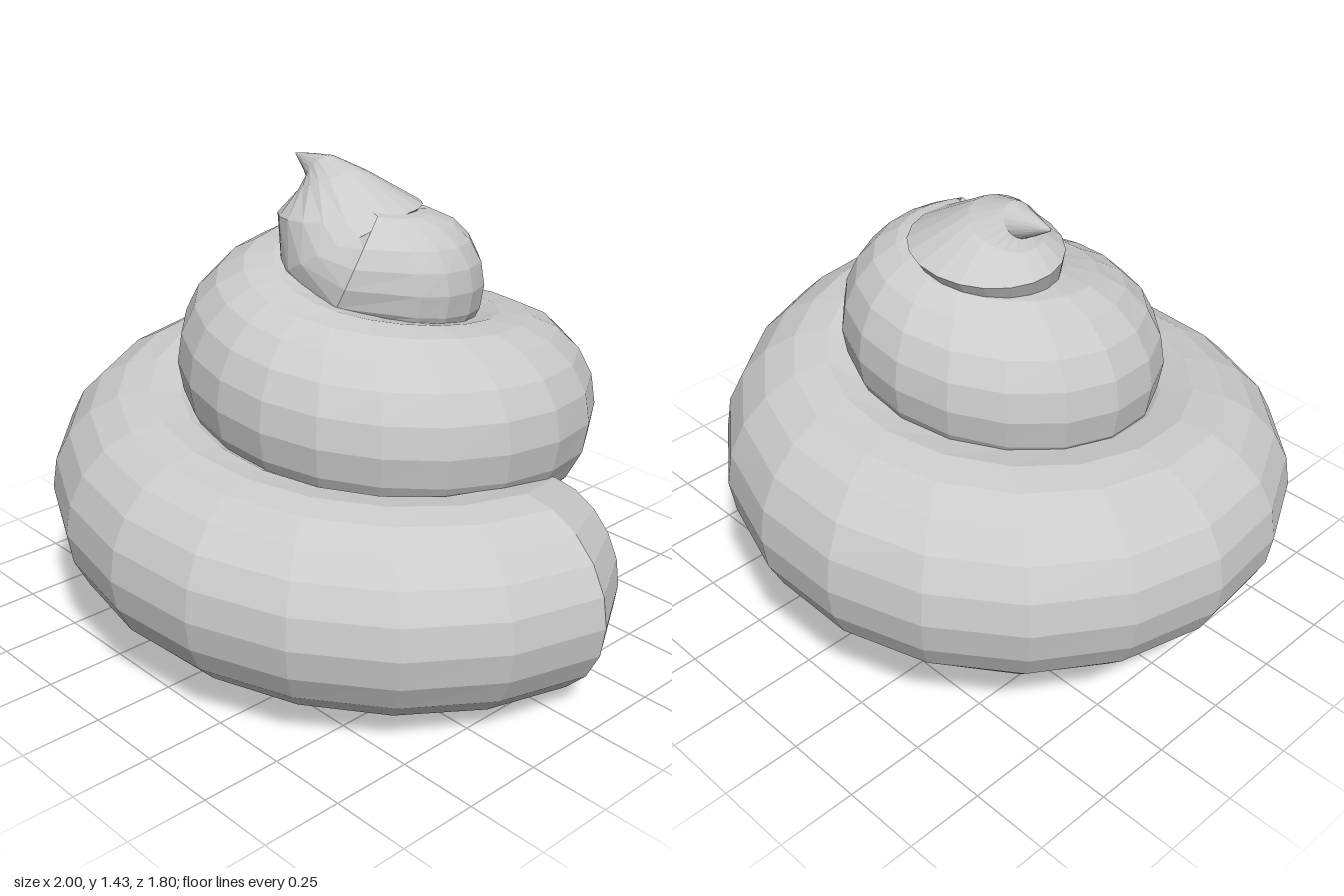
import * as THREE from 'three';

const SIDES = 20;
const STEPS_PER_QUARTER = 5;
const POLE = { x: -0.04, z: -0.05 };

// Coil at each quarter turn: distance from the pole, height, tube radius
const QUARTERS = [
  [0.72, 0.31, 0.31], [0.64, 0.40, 0.31], [0.65, 0.50, 0.32],
  [0.525, 0.59, 0.33], [0.345, 0.72, 0.31], [0.25, 0.81, 0.30],
  [0.26, 0.90, 0.30], [0.21, 1.02, 0.26], [0.06, 1.10, 0.22],
];

const ring = (x, y, z, r, tx, ty, tz) => ({
  centre: new THREE.Vector3(x, y, z), r, tangent: new THREE.Vector3(tx, ty, tz).normalize(),
});

function coilRings() {
  const curve = new THREE.CatmullRomCurve3(
    QUARTERS.map((q) => new THREE.Vector3(...q)), false, 'catmullrom', 0.5);
  const quarters = QUARTERS.length - 1;
  const count = quarters * STEPS_PER_QUARTER;
  const rings = [];
  for (let i = 0; i <= count; i++) {
    const a = (i / count) * quarters * Math.PI / 2;
    const p = curve.getPoint(i / count);
    rings.push(ring(POLE.x + p.x * Math.cos(a), p.y, POLE.z + p.x * Math.sin(a), p.z,
      -Math.sin(a), 0, Math.cos(a)));
  }
  return rings;
}

// Skin a list of rings, carrying the ring's reference direction along the path
function skin(rings) {
  const positions = [];
  const indices = [];
  const u = new THREE.Vector3(0, 1, 0);
  const v = new THREE.Vector3();
  rings.forEach(({ centre, r, tangent }, i) => {
    u.addScaledVector(tangent, -u.dot(tangent)).normalize();
    v.crossVectors(tangent, u);
    for (let j = 0; j < SIDES; j++) {
      const a = (j / SIDES) * Math.PI * 2;
      const p = centre.clone()
        .addScaledVector(u, r * Math.cos(a))
        .addScaledVector(v, r * Math.sin(a));
      positions.push(p.x, p.y, p.z);
      if (i === 0) continue;
      const k = (j + 1) % SIDES;
      const lo = (i - 1) * SIDES;
      const hi = i * SIDES;
      indices.push(lo + j, lo + k, hi + j, lo + k, hi + k, hi + j);
    }
  });
  const geometry = new THREE.BufferGeometry();
  geometry.setAttribute('position', new THREE.Float32BufferAttribute(positions, 3));
  geometry.setIndex(indices);
  geometry.computeVertexNormals();
  return geometry;
}

export function createModel() {
  const group = new THREE.Group();
  group.name = 'coiledSwirl';

  // Blunt, bevelled lower end
  const bluntEnd = [
    ring(0.58, 0.30, -0.35, 0.001, 0, 0, 1),
    ring(0.58, 0.30, -0.35, 0.20, 0, 0, 1),
    ring(0.585, 0.30, -0.29, 0.26, 0, 0, 1),
  ];
  // Top turns upward, then narrows to a small sideways tip
  const tip = [
    ring(-0.03, 1.13, -0.03, 0.21, -0.7, 0.4, 0.6),
    ring(-0.10, 1.18, -0.07, 0.22, -0.5, 0.9, 0.1),
    ring(-0.14, 1.28, -0.12, 0.225, -0.1, 1, 0),
    ring(-0.20, 1.36, -0.10, 0.11, -0.4, 0.9, 0),
    ring(-0.25, 1.39, -0.10, 0.055, -0.8, 0.6, 0),
    ring(-0.31, 1.395, -0.105, 0.03, -1, 0.2, 0),
    ring(-0.38, 1.41, -0.11, 0.002, -1, 0.2, 0),
  ];

  const material = new THREE.MeshStandardMaterial({ color: 0xcccccc, flatShading: true });
  const coil = new THREE.Mesh(skin([...bluntEnd, ...coilRings(), ...tip]), material);
  coil.name = 'taperedCoil';
  group.add(coil);
  return group;
}
